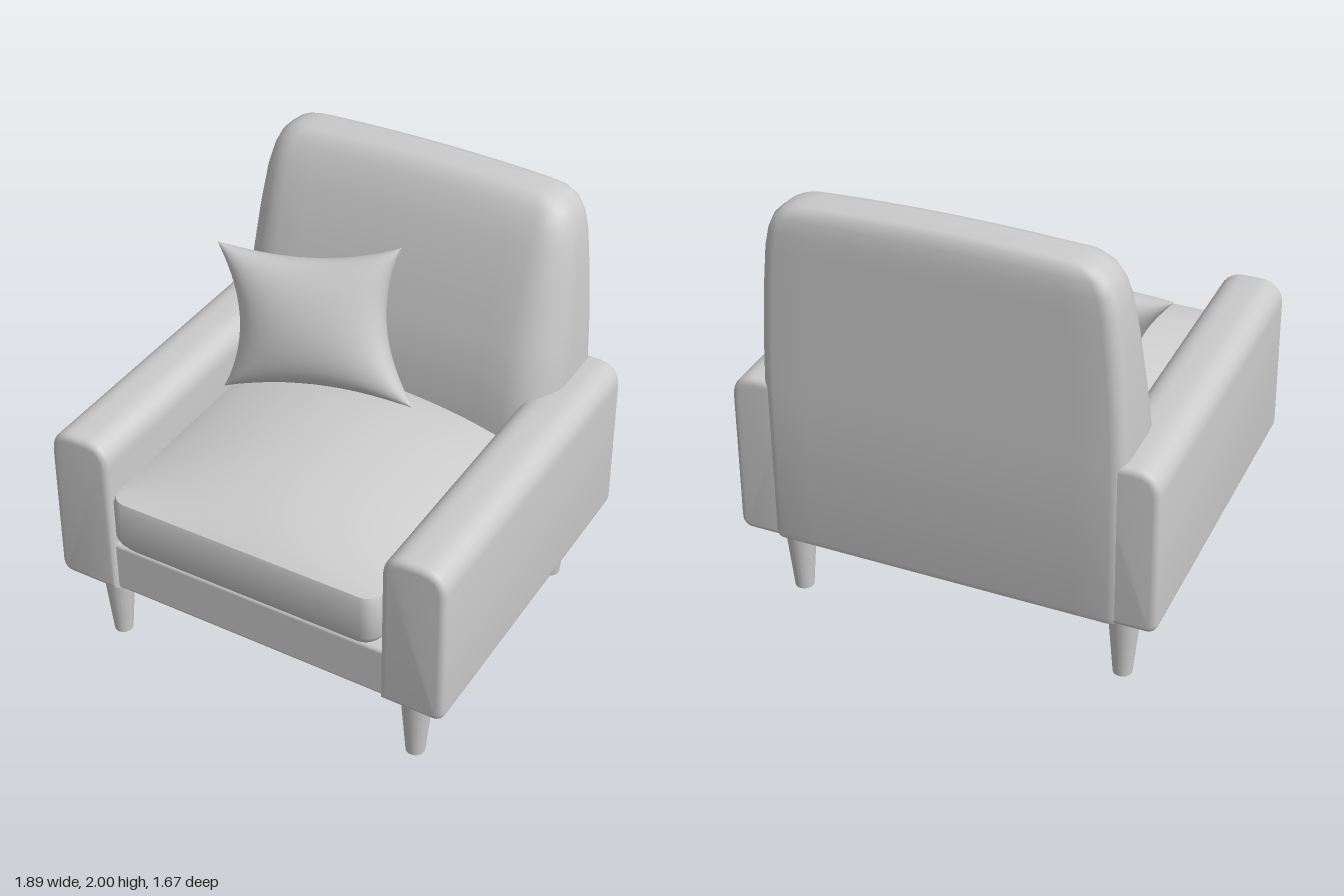
import * as THREE from 'three';
import { toCreasedNormals } from 'three/addons/utils/BufferGeometryUtils.js';
import { RoundedBoxGeometry } from 'three/addons/geometries/RoundedBoxGeometry.js';

const grey = new THREE.MeshStandardMaterial({ color: 0xcccccc });

function addMesh(parent, name, geometry) {
  const mesh = new THREE.Mesh(geometry, grey);
  mesh.name = name;
  parent.add(mesh);
  return mesh;
}

// Rounded rectangle in the xz plane, with separate front and back corner radii
function ring(y, w, zb, zf, rf, rb) {
  const limit = Math.min(w, (zf - zb) / 2) * 0.95;
  rf = Math.min(rf, limit);
  rb = Math.min(rb, limit);
  const corners = [[w - rf, zf - rf, rf], [rf - w, zf - rf, rf], [rb - w, zb + rb, rb], [w - rb, zb + rb, rb]];
  const arcs = corners.map(([x, z, r], c) => {
    const arc = [];
    for (let i = 0; i <= 6; i++) {
      const a = (c + i / 6) * Math.PI / 2;
      arc.push(new THREE.Vector3(x + r * Math.cos(a), y, z + r * Math.sin(a)));
    }
    return arc;
  });
  const points = [];
  arcs.forEach((arc, c) => {
    points.push(...arc);
    const next = arcs[(c + 1) % 4][0];
    for (let k = 1; k < 10; k++) points.push(arc[6].clone().lerp(next, k / 10));
  });
  return points;
}

// Skin over rings stacked from bottom to top, closed at both ends
function loft(rings, crease) {
  const n = rings[0].length, positions = [], index = [];
  const middle = (r) => r.reduce((s, p) => s.add(p), new THREE.Vector3()).divideScalar(n);
  rings.forEach((r) => r.forEach((p) => positions.push(p.x, p.y, p.z)));
  const last = rings.length - 1, bottom = rings.length * n, top = bottom + 1;
  positions.push(...middle(rings[0]).toArray(), ...middle(rings[last]).toArray());
  for (let j = 0; j < n; j++) {
    const k = (j + 1) % n;
    for (let i = 0; i < last; i++) {
      const a = i * n + j, b = i * n + k;
      index.push(a, a + n, b, b, a + n, b + n);
    }
    index.push(bottom, j, k, top, last * n + k, last * n + j);
  }
  const g = new THREE.BufferGeometry();
  g.setAttribute('position', new THREE.Float32BufferAttribute(positions, 3));
  g.setIndex(index);
  return toCreasedNormals(g, crease);
}

// Backrest: upright at the back, sloping in front, rounded at the top
function backrestGeometry() {
  const sections = [ // y, half width, back z, front z, crown
    [0.372, 0.79, -0.83, -0.38, 0], [0.4, 0.795, -0.838, -0.36, 0],
    [1.14, 0.79, -0.838, -0.36, 0], [1.35, 0.78, -0.838, -0.405, 0],
    [1.6, 0.76, -0.838, -0.47, 0], [1.78, 0.74, -0.838, -0.53, 0],
    [1.86, 0.722, -0.837, -0.565, 0.004], [1.92, 0.695, -0.832, -0.6, 0.01],
    [1.955, 0.655, -0.82, -0.63, 0.017], [1.973, 0.61, -0.802, -0.66, 0.02],
    [1.98, 0.55, -0.775, -0.69, 0.02]];
  return loft(sections.map(([y, w, zb, zf, crown]) => {
    const r = ring(y, w, zb, zf, 0.2, 0.06);
    r.forEach((p) => { p.y += crown * (1 - (p.x / w) ** 2); });
    return r;
  }), 0.7);
}

// Seat cushion: straight sides, tucked underside and domed top
function seatCushionGeometry() {
  const w = 0.645, zc = 0.115, half = 0.72;
  const slab = (y, inset) => ring(y, w - inset, zc - half + inset, zc + half - inset, 0.07, 0.07);
  const rings = [slab(0.62, 0.07), slab(0.64, 0.03), slab(0.67, 0.01), slab(0.7, 0), slab(0.87, 0), slab(0.9, 0.008)];
  for (const s of [0.95, 0.88, 0.78, 0.65, 0.5, 0.35, 0.2, 0.08]) {
    const r = slab(0.9, 0.008);
    r.forEach((p) => {
      p.x *= s;
      p.z = zc + (p.z - zc) * s;
      const u = p.x / w, v = Math.abs((p.z - zc) / half);
      p.y += 0.13 * (1 - u * u) * (1 - v ** 3);
    });
    rings.push(r);
  }
  return loft(rings, 0.6);
}

// Armrest: upright slab with rounded top, extruded front to back
function armGeometry() {
  const b = 0.03, x0 = 0.65 + b, x1 = 0.945 - b, y0 = 0.37 + b, y1 = 1.145 - b, r = 0.08;
  const s = new THREE.Shape();
  s.moveTo(x0, y0);
  s.lineTo(x1 - 0.02, y0);
  s.quadraticCurveTo(x1, y0, x1, y0 + 0.03);
  s.lineTo(x1 - 0.008, y1 - r);
  s.quadraticCurveTo(x1 - 0.012, y1, x1 - r - 0.01, y1);
  s.lineTo(x0 + r, y1);
  s.quadraticCurveTo(x0, y1, x0, y1 - r);
  s.closePath();
  const g = new THREE.ExtrudeGeometry(s, {
    depth: 1.64 - 2 * b, bevelThickness: b, bevelSize: b, bevelSegments: 4, curveSegments: 8,
  });
  g.translate(0, 0, -0.83 + b);
  return toCreasedNormals(g, 0.6);
}

// Throw pillow: four corners, edges pulled inward, both faces puffed out
function pillowGeometry() {
  const tl = new THREE.Vector3(-0.765, 1.555, -0.24), tr = new THREE.Vector3(0.065, 1.695, -0.4);
  const bl = new THREE.Vector3(-0.625, 0.95, -0.04), br = new THREE.Vector3(0.235, 1.03, -0.22);
  const across = tr.clone().sub(tl).add(br).sub(bl);
  const up = tl.clone().sub(bl).add(tr).sub(br);
  const normal = across.cross(up).normalize();
  const N = 20, positions = [], index = [];
  for (const side of [1, -1]) {
    const start = positions.length / 3;
    for (let j = 0; j <= N; j++) {
      for (let i = 0; i <= N; i++) {
        const u = Math.sin((i / N - 0.5) * Math.PI), v = Math.sin((j / N - 0.5) * Math.PI);
        const pu = u * (1 - 0.23 * (1 - v * v)), pv = v * (1 - 0.18 * (1 - u * u));
        const low = bl.clone().lerp(br, (pu + 1) / 2), high = tl.clone().lerp(tr, (pu + 1) / 2);
        const puff = 0.155 * Math.max(0, (1 - u * u) * (1 - v * v)) ** 0.45;
        const p = low.lerp(high, (pv + 1) / 2).addScaledVector(normal, side * puff);
        positions.push(p.x, p.y, p.z);
        if (i < N && j < N) {
          const a = start + j * (N + 1) + i, b = a + 1, c = a + N + 1, d = c + 1;
          if (side > 0) index.push(a, b, c, b, d, c);
          else index.push(a, c, b, b, c, d);
        }
      }
    }
  }
  const g = new THREE.BufferGeometry();
  g.setAttribute('position', new THREE.Float32BufferAttribute(positions, 3));
  g.setIndex(index);
  return toCreasedNormals(g, 0.7);
}

export function createModel() {
  const chair = new THREE.Group();
  chair.name = 'armchair';

  // Seat frame with front rail
  addMesh(chair, 'seatFrame', new RoundedBoxGeometry(1.44, 0.25, 1.59, 3, 0.02)).position.set(0, 0.497, -0.005);
  addMesh(chair, 'backrest', backrestGeometry());
  addMesh(chair, 'seatCushion', seatCushionGeometry());
  addMesh(chair, 'throwPillow', pillowGeometry());

  // Arms and tapered legs on both sides
  for (const side of [1, -1]) {
    const label = side > 0 ? 'left' : 'right';
    const arm = armGeometry();
    if (side < 0) {
      // Turn about the vertical axis, then shift to line up front and back
      arm.rotateY(Math.PI);
      arm.translate(0, 0, -0.02);
    }
    addMesh(chair, label + 'Arm', arm);
    for (const end of [1, -1]) {
      const leg = new THREE.CylinderGeometry(0.076, 0.042, 0.39, 20);
      addMesh(chair, label + (end > 0 ? 'FrontLeg' : 'BackLeg'), leg).position.set(side * 0.75, 0.195, end * 0.66);
    }
  }
  return chair;
}
